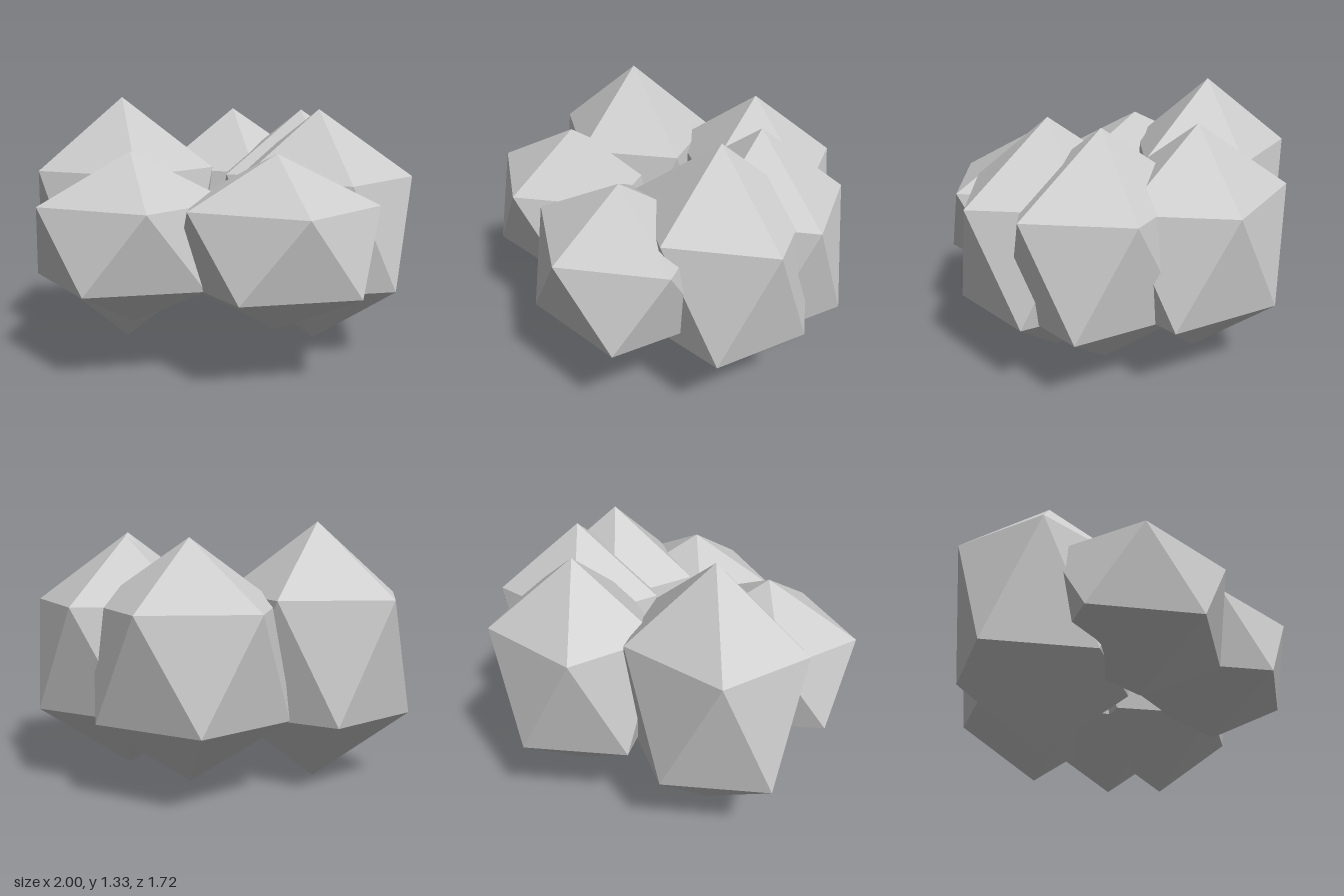
import * as THREE from 'three';

// One lobe per row: centre x, centre z, vertical half-height
const LOBES = [
  ['leftLobe', -0.52, -0.04, 0.665],
  ['backLobe', 0.04, -0.467, 0.59],
  ['rightLobe', 0.515, 0.05, 0.61],
  ['backRightLobe', 0.43, -0.23, 0.595],
  ['frontRightLobe', 0.31, 0.463, 0.425],
  ['frontLeftLobe', -0.39, 0.40, 0.425],
];
const CENTRE_Y = 0.67;
const HALF_WIDTH = 0.538;
const HALF_DEPTH = 0.464;

export function createModel() {
  const group = new THREE.Group();
  group.name = 'facetedClump';
  const material = new THREE.MeshStandardMaterial({ color: 0xcccccc, flatShading: true });

  // Icosahedron turned to stand on a corner, with an upper ring corner facing +x
  const golden = (1 + Math.sqrt(5)) / 2;
  const icosahedron = new THREE.IcosahedronGeometry(1, 0).rotateZ(-Math.atan(1 / golden));

  // Overlapping lobes, each stretched to its own height
  for (const [name, x, z, halfHeight] of LOBES) {
    const geometry = icosahedron.clone().scale(HALF_WIDTH, halfHeight, HALF_DEPTH);
    geometry.computeVertexNormals();
    const lobe = new THREE.Mesh(geometry, material);
    lobe.name = name;
    lobe.position.set(x, CENTRE_Y, z);
    group.add(lobe);
  }
  return group;
}
